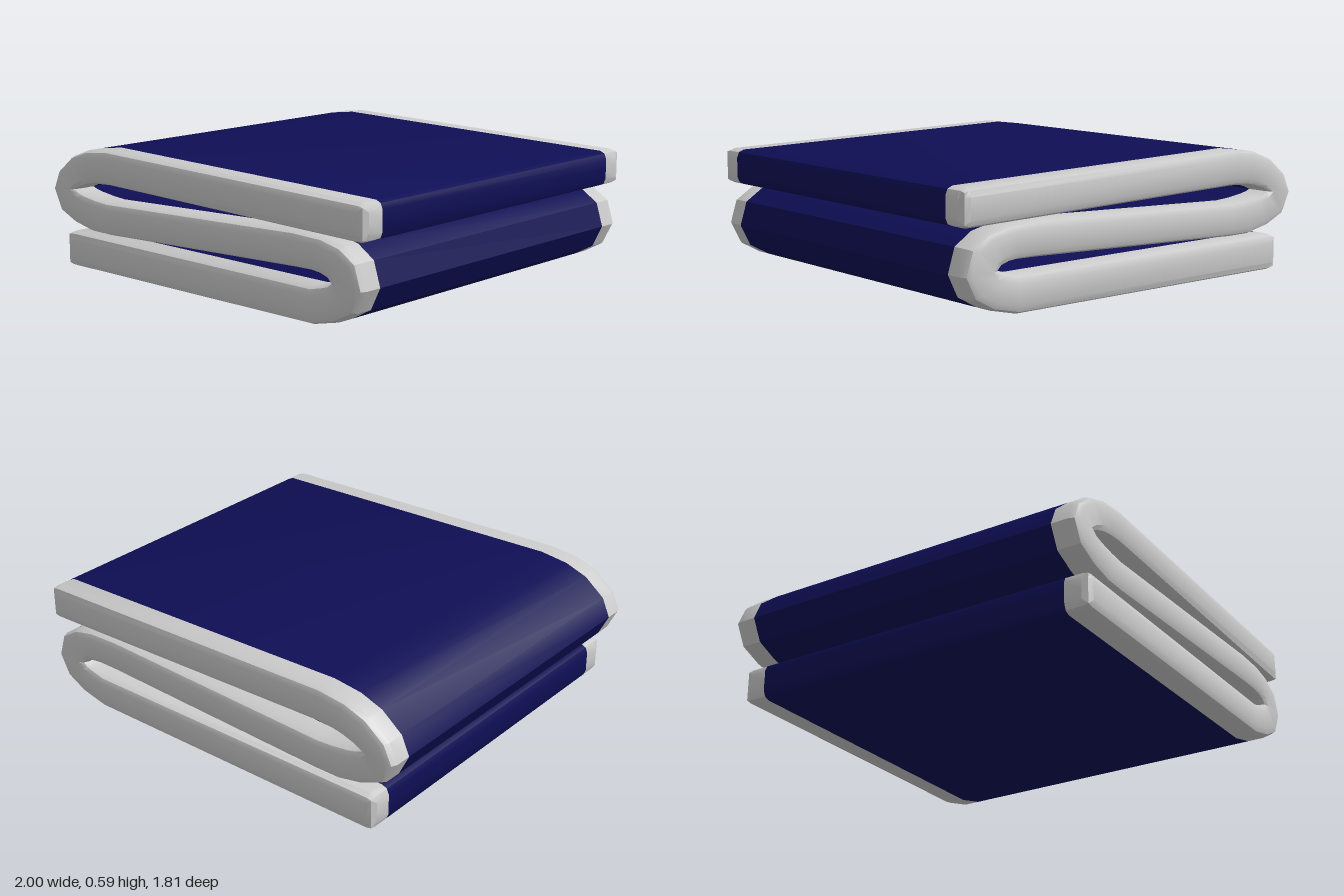
import * as THREE from 'three';
import { toCreasedNormals } from 'three/addons/utils/BufferGeometryUtils.js';

const HALF = 0.907, BAND = 0.79, R = 0.036;

// Folded path: each station is [one face x, y, other face x, y]
const FOLD = [
  [-0.9, 0, -0.9, 0.17], [0.7, 0.012, 0.7, 0.175],
  // right-hand fold
  [0.84, 0.045, 0.76, 0.19], [0.94, 0.1, 0.79, 0.196], [0.99, 0.2, 0.81, 0.208],
  [0.955, 0.31, 0.79, 0.226], [0.87, 0.365, 0.75, 0.236], [0.76, 0.39, 0.7, 0.24],
  [0.6, 0.395, 0.6, 0.238], [-0.6, 0.345, -0.6, 0.188],
  // left-hand fold
  [-0.68, 0.35, -0.72, 0.188], [-0.76, 0.36, -0.84, 0.212], [-0.8, 0.367, -0.95, 0.26],
  [-0.83, 0.377, -1, 0.36], [-0.79, 0.393, -0.96, 0.45], [-0.73, 0.41, -0.86, 0.53],
  [-0.68, 0.418, -0.75, 0.57], [-0.61, 0.423, -0.61, 0.588], [1, 0.395, 1, 0.56],
];

// Add rounded, closed ends: { p: station, inset, closed }
function buildStations() {
  const end = (p, dir) => [
    [0, R, true], [0, R, false], [0.3 * R, 0.3 * R, false], [R, 0, false],
  ].map(([shift, inset, closed]) => ({
    p: [p[0] + dir * shift, p[1], p[2] + dir * shift, p[3]], inset, closed,
  }));
  return [
    ...end(FOLD[0], 1),
    ...FOLD.slice(1, -1).map((p) => ({ p, inset: 0, closed: false })),
    ...end(FOLD[FOLD.length - 1], -1).reverse(),
  ];
}

// Cross-section points: [side 0 or 1, inset from that side, z]
const corner = [[0, R], [0.3 * R, 0.3 * R], [R, 0]];
const frontHem = [
  [0, 0, BAND],
  ...corner.map(([d, e]) => [0, d, HALF - e]),
  ...corner.map(([d, e]) => [1, d, HALF - e]).reverse(),
  [1, 0, BAND],
];
const backHem = frontHem.map(([s, d, z]) => [s, d, -z]).reverse();
const lowerBand = [[0, 0, -BAND], [0, 0, BAND]];
const upperBand = [[1, 0, BAND], [1, 0, -BAND]];

// Sweep a strip of the cross-section along the fold
function sweep(name, profile, color) {
  const stations = buildStations(), pos = [], index = [], n = profile.length;
  for (const { p, inset, closed } of stations) {
    const a = new THREE.Vector2(p[0], p[1]), b = new THREE.Vector2(p[2], p[3]);
    const thick = a.distanceTo(b);
    for (const [side, d, z] of profile) {
      const t = closed ? 0.5 : Math.min(0.5, Math.max(d, inset + d * 0.5 * (inset > 0)) / thick);
      const v = a.clone().lerp(b, side ? 1 - t : t);
      const zMax = HALF - inset;
      pos.push(v.x, v.y, THREE.MathUtils.clamp(z, -zMax, zMax));
    }
  }
  for (let i = 0; i < stations.length - 1; i++) {
    for (let j = 0; j < n - 1; j++) {
      const k = i * n + j;
      index.push(k, k + n, k + n + 1, k, k + n + 1, k + 1);
    }
  }
  const geo = new THREE.BufferGeometry();
  geo.setAttribute('position', new THREE.Float32BufferAttribute(pos, 3));
  geo.setIndex(index);
  const mesh = new THREE.Mesh(
    toCreasedNormals(geo, 0.5),
    new THREE.MeshStandardMaterial({ color, side: THREE.DoubleSide }),
  );
  mesh.name = name;
  return mesh;
}

export function createModel() {
  const towel = new THREE.Group();
  towel.name = 'foldedTowel';
  towel.add(
    sweep('frontHem', frontHem, 0xcccccc),
    sweep('backHem', backHem, 0xcccccc),
    sweep('lowerClothBand', lowerBand, 0x0e0e55),
    sweep('upperClothBand', upperBand, 0x0e0e55),
  );
  return towel;
}
